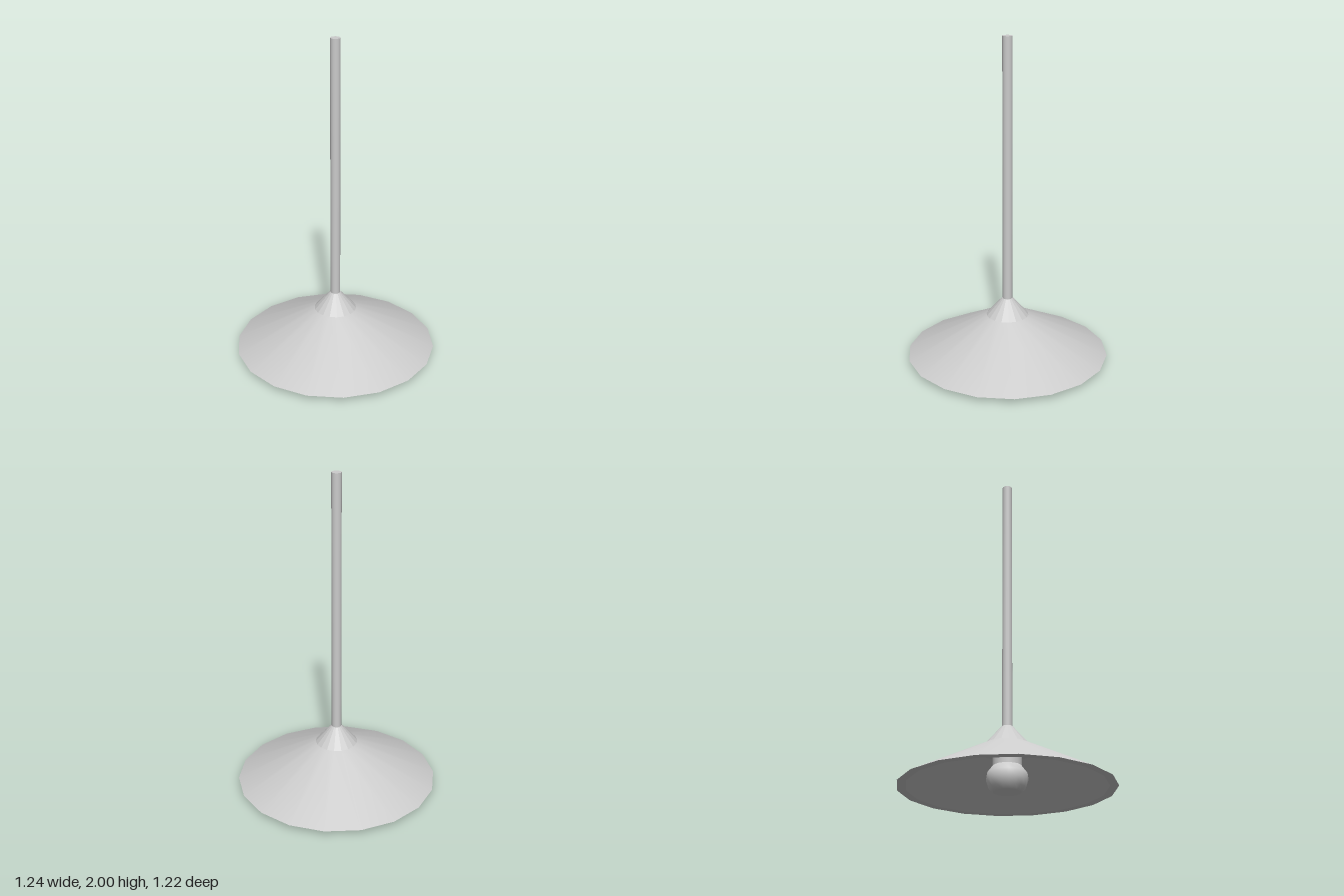
import * as THREE from 'three';

const SIDES = 18;

// Revolve [radius, height] points, listed so the outside lies to the right of an upward path
function turned(name, points, flat = false, sides = SIDES) {
  const profile = points.map(([r, y]) => new THREE.Vector2(r, y));
  let geometry = new THREE.LatheGeometry(profile, sides, Math.PI / 2);
  if (flat) {
    geometry = geometry.toNonIndexed();
    geometry.computeVertexNormals();
  }
  const material = new THREE.MeshStandardMaterial({ color: 0xcccccc, flatShading: flat });
  const mesh = new THREE.Mesh(geometry, material);
  mesh.name = name;
  return mesh;
}

export function createModel() {
  const lamp = new THREE.Group();
  lamp.name = 'pendantLamp';

  // Shade: wide outer cone, steeper neck, flat rim and thick inner wall
  const shade = new THREE.Group();
  shade.name = 'shade';
  shade.add(
    turned('shadeOuter', [[0.62, 0.03], [0.13, 0.28]]),
    turned('shadeNeck', [[0.13, 0.28], [0.033, 0.39], [0, 0.39]], true),
    turned('shadeRim', [[0.57, 0.03], [0.62, 0.03]], true),
    turned('shadeInner', [[0.165, 0.24], [0.57, 0.03]], true),
    turned('shadeCeiling', [[0, 0.24], [0.165, 0.24]], true)
  );
  lamp.add(shade);

  // Hanging rod
  const rod = new THREE.Mesh(
    new THREE.CylinderGeometry(0.03, 0.03, 1.61, 16),
    new THREE.MeshStandardMaterial({ color: 0xcccccc })
  );
  rod.name = 'rod';
  rod.position.y = 1.195;
  lamp.add(rod);

  // Socket and rounded bulb under the shade
  lamp.add(
    turned('socket', [[0.083, 0.14], [0.083, 0.24]]),
    turned('bulb', [
      [0, 0], [0.078, 0.005], [0.105, 0.03], [0.12, 0.075],
      [0.114, 0.115], [0.083, 0.155], [0, 0.165]
    ])
  );

  return lamp;
}
